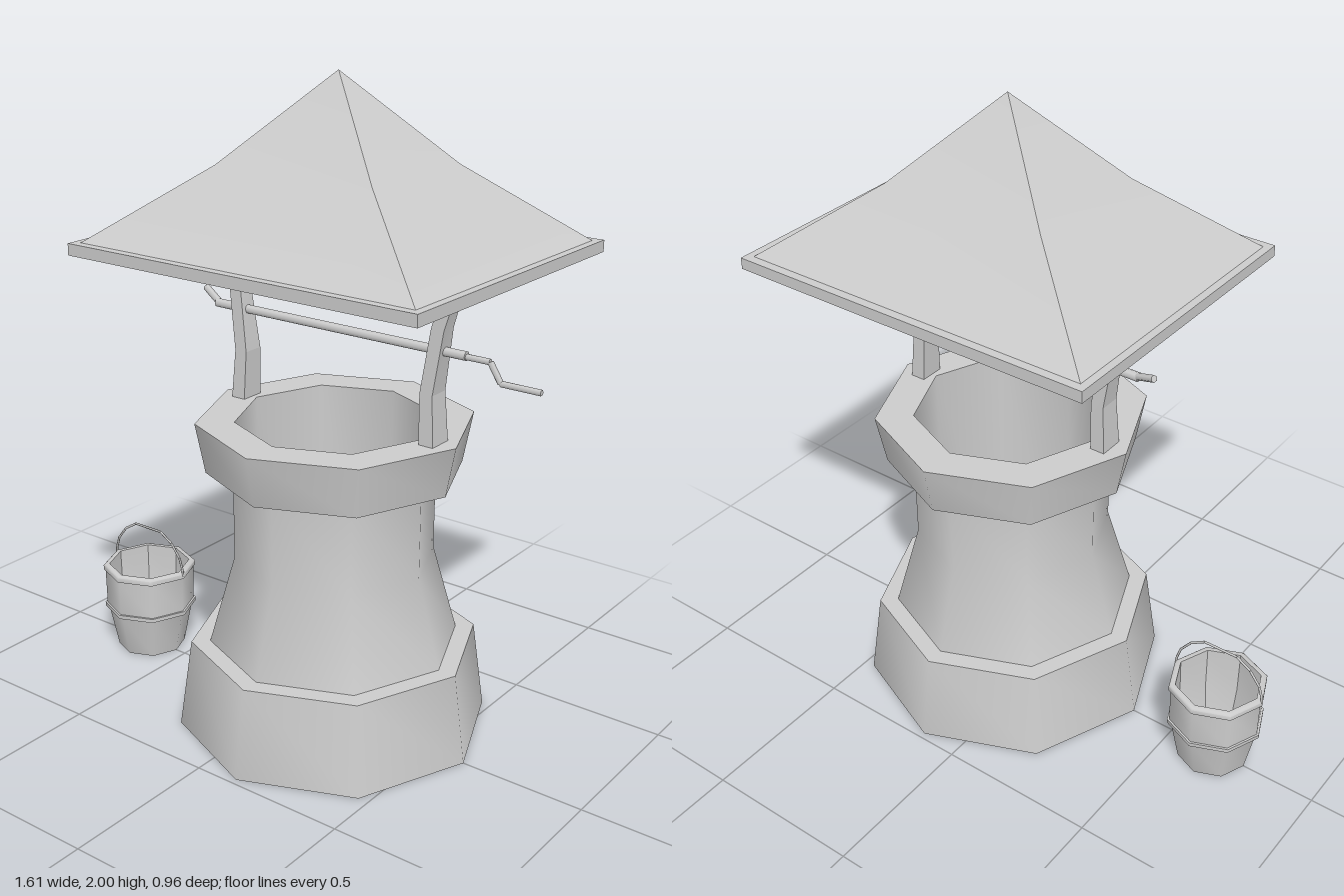
import * as THREE from 'three';
import { toCreasedNormals } from 'three/addons/utils/BufferGeometryUtils.js';

const grey = new THREE.MeshStandardMaterial({ color: 0xcccccc });
const greyDouble = new THREE.MeshStandardMaterial({ color: 0xcccccc, side: THREE.DoubleSide });

function add(parent, name, geometry, material = grey) {
  const mesh = new THREE.Mesh(geometry, material);
  mesh.name = name;
  parent.add(mesh);
  return mesh;
}

// Faceted solid of revolution, smooth around, sharp at ledges
function turned(profile, crease = 0.9, sides = 8) {
  const points = profile.map(([r, y]) => new THREE.Vector2(r, y));
  return toCreasedNormals(new THREE.LatheGeometry(points, sides), crease);
}

// Chain of straight rods through a list of points
function rods(parent, name, points, radius, sides = 6) {
  const group = new THREE.Group();
  group.name = name;
  parent.add(group);
  for (let i = 0; i < points.length - 1; i++) {
    const a = new THREE.Vector3(...points[i]);
    const b = new THREE.Vector3(...points[i + 1]);
    const dir = b.clone().sub(a);
    const rod = add(group, name + 'Segment', new THREE.CylinderGeometry(radius, radius, dir.length(), sides));
    rod.position.copy(a).lerp(b, 0.5);
    rod.quaternion.setFromUnitVectors(new THREE.Vector3(0, 1, 0), dir.normalize());
  }
}

// Bent, tapering post; each section is [x, y, half width, half depth]
function postGeometry(side) {
  const sections = [
    [0.341, 0.98, 0.024, 0.04], [0.333, 1.14, 0.021, 0.034],
    [0.359, 1.33, 0.021, 0.025], [0.404, 1.49, 0.023, 0.018], [0.435, 1.58, 0.02, 0.015],
  ];
  const geo = new THREE.BoxGeometry(2, 4, 2, 1, 4, 1);
  const pos = geo.attributes.position;
  for (let i = 0; i < pos.count; i++) {
    const [x, y, w, d] = sections[Math.round(pos.getY(i) + 2)];
    pos.setXYZ(i, side * x + pos.getX(i) * w, y, pos.getZ(i) * d);
  }
  return toCreasedNormals(geo, 0.15);
}

function createWell() {
  const well = new THREE.Group();
  well.name = 'well';

  // Stone shaft with stepped base, flared rim and hollow inside
  add(well, 'stoneShaft', turned([
    [0, 0], [0.481, 0], [0.442, 0.28], [0.384, 0.28], [0.306, 0.555], [0.306, 0.835],
    [0.387, 0.835], [0.417, 0.99], [0.3, 0.99], [0.295, 0.05], [0, 0.05],
  ]));

  for (const side of [-1, 1]) add(well, side < 0 ? 'rightPost' : 'leftPost', postGeometry(side));

  // Roof: four-sided pyramid with a slight kink
  const roofPoints = [[0.566, 1.52], [0.267, 1.74], [0, 2]]
    .map(([r, y]) => new THREE.Vector2(r * Math.SQRT2, y));
  const roof = new THREE.LatheGeometry(roofPoints, 4, Math.PI / 4).scale(1, 1, 0.8);
  add(well, 'roof', toCreasedNormals(roof, 0.5), greyDouble);

  // Eave frame, open in the middle
  const rect = (S, w, d) => new S([[-w, -d], [w, -d], [w, d], [-w, d]].map((p) => new THREE.Vector2(...p)));
  const frame = rect(THREE.Shape, 0.59, 0.48);
  frame.holes.push(rect(THREE.Path, 0.5, 0.39));
  const frameGeo = new THREE.ExtrudeGeometry(frame, { depth: 0.035, bevelEnabled: false });
  add(well, 'eaveFrame', frameGeo.rotateX(-Math.PI / 2).translate(0, 1.485, 0));

  // Windlass: axle, crank handle and bent peg
  rods(well, 'axle', [[-0.45, 1.265, 0], [0.44, 1.265, 0]], 0.014, 8);
  rods(well, 'crank', [[0.43, 1.263, 0], [0.515, 1.263, 0], [0.55, 1.208, 0], [0.675, 1.208, 0]], 0.009);
  rods(well, 'peg', [[-0.44, 1.265, 0], [-0.515, 1.297, -0.025]], 0.011);
  return well;
}

function createBucket() {
  const bucket = new THREE.Group();
  bucket.name = 'bucket';

  // Outer wall with two hoops
  add(bucket, 'bucketWall', turned([
    [0, 0], [0.112, 0], [0.141, 0.145], [0.153, 0.145], [0.153, 0.158], [0.146, 0.158],
    [0.148, 0.28], [0.154, 0.28], [0.154, 0.295], [0.149, 0.3], [0.134, 0.3],
  ]));
  // Faceted inside
  add(bucket, 'bucketInside', turned([[0.134, 0.3], [0.13, 0.16], [0.1, 0.02], [0, 0.02]], 0.4));

  // Wire handle
  const half = [[0.152, 0.29], [0.15, 0.31], [0.138, 0.35], [0.103, 0.395], [0.056, 0.424]];
  const arc = [...half.map(([x, y]) => [-x, y, 0]), ...half.map(([x, y]) => [x, y, 0]).reverse()];
  rods(bucket, 'bucketHandle', arc, 0.004, 5);
  return bucket;
}

export function createModel() {
  const model = new THREE.Group();
  model.name = 'wellWithBucket';
  const well = createWell();
  well.position.x = 0.127;
  const bucket = createBucket();
  bucket.position.x = -0.65;
  model.add(well, bucket);
  return model;
}
